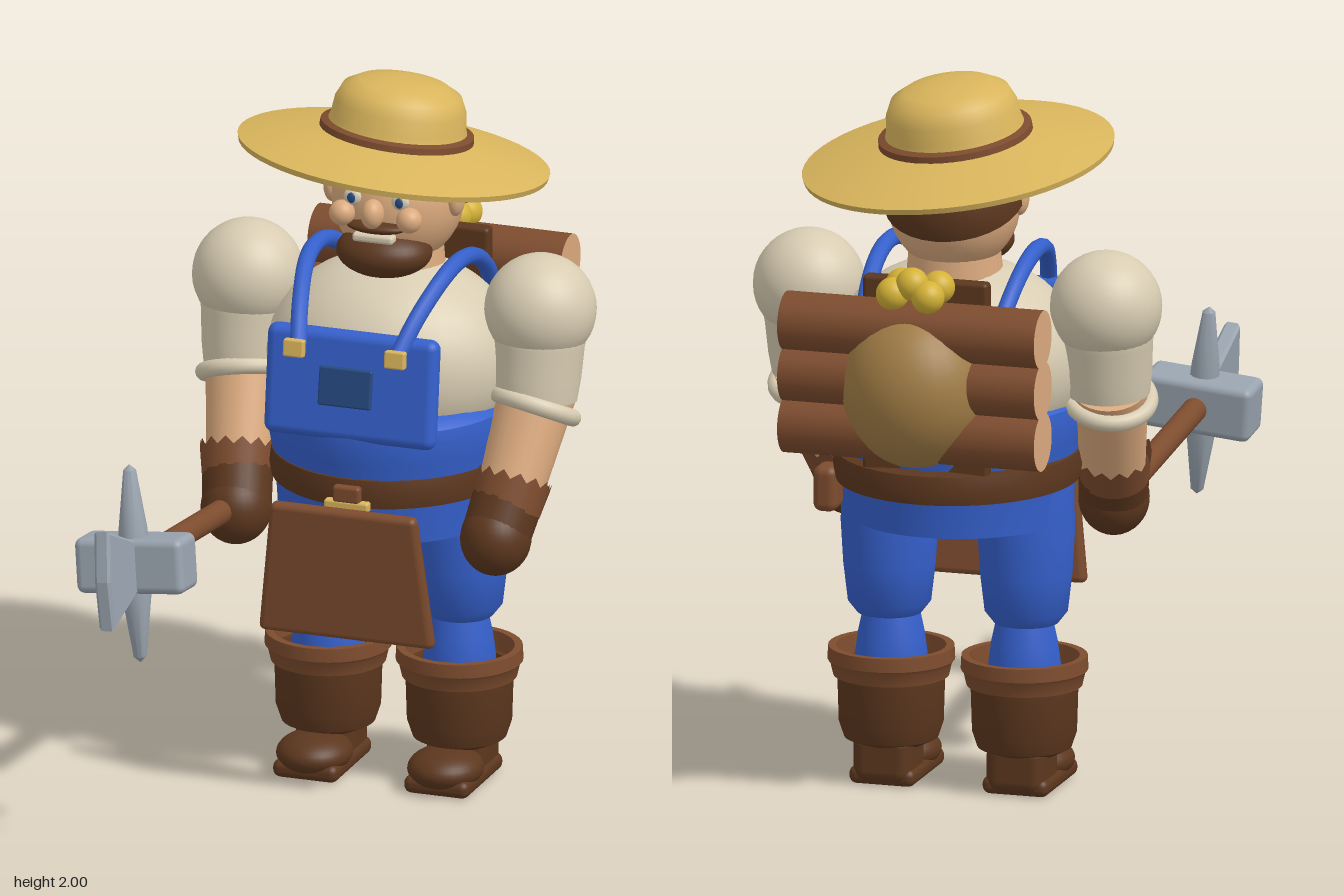
import * as THREE from 'three';
import { toCreasedNormals } from 'three/addons/utils/BufferGeometryUtils.js';
import { RoundedBoxGeometry } from 'three/addons/geometries/RoundedBoxGeometry.js';

const colors = {
  straw: 0xd9b55c, brown: 0x7d4c2e, darkBrown: 0x5c371e, skin: 0xdbaa7e, linen: 0xd8ccb2,
  blue: 0x3560cc, navy: 0x264a80, steel: 0x99a3ae, sackcloth: 0xa07c45, gold: 0xd4b236,
};
const M = {};
for (const [name, color] of Object.entries(colors)) {
  M[name] = new THREE.MeshStandardMaterial({ color });
  M[name].name = name;
}
M.brown.side = M.darkBrown.side = THREE.DoubleSide;

const V = (x, y, z) => new THREE.Vector3(x, y, z);
const UP = V(0, 1, 0);

function add(parent, name, geo, mat, pos = [0, 0, 0], rot = [0, 0, 0], scale = [1, 1, 1]) {
  const m = new THREE.Mesh(geo, mat);
  m.name = name;
  m.position.set(...pos);
  m.rotation.set(...rot);
  m.scale.set(...scale);
  parent.add(m);
  return m;
}
const ball = (parent, name, mat, pos, r, rot) =>
  add(parent, name, new THREE.SphereGeometry(1, 32, 20), mat, pos, rot, r);
const lathe = (pts, seg = 40) =>
  toCreasedNormals(new THREE.LatheGeometry(pts.map(p => new THREE.Vector2(...p)), seg), 0.7);
const rbox = (w, h, d, r) => new RoundedBoxGeometry(w, h, d, 3, r);

// Tapered cylinder running from a to b
function limb(parent, name, mat, a, b, ra, rb, geo) {
  const A = V(...a), B = V(...b);
  const m = add(parent, name, geo || new THREE.CylinderGeometry(ra, rb, A.distanceTo(B), 28), mat);
  m.position.copy(A).add(B).multiplyScalar(0.5);
  m.quaternion.setFromUnitVectors(UP, A.sub(B).normalize());
  return m;
}
function group(parent, name) {
  const g = new THREE.Group();
  g.name = name;
  parent.add(g);
  return g;
}

function buildHead(root) {
  const g = group(root, 'head');
  ball(g, 'skull', M.skin, [0, 1.66, -0.37], [0.183, 0.19, 0.185]);
  add(g, 'hair', new THREE.SphereGeometry(0.195, 32, 16, 0, Math.PI * 2, 0, Math.PI / 2),
    M.darkBrown, [0, 1.665, -0.365], [-0.4, 0, 0]);
  limb(g, 'neck', M.skin, [0, 1.6, -0.37], [0, 1.4, -0.36], 0.12, 0.14);
  ball(g, 'beard', M.darkBrown, [0, 1.535, -0.26], [0.135, 0.072, 0.115]);
  ball(g, 'moustache', M.darkBrown, [0, 1.624, -0.195], [0.085, 0.018, 0.04]);
  add(g, 'teeth', rbox(0.12, 0.025, 0.04, 0.01), M.linen, [0, 1.597, -0.18]);
  ball(g, 'nose', M.skin, [0, 1.67, -0.165], [0.032, 0.042, 0.038]);
  for (const s of [-1, 1]) {
    ball(g, 'ear', M.skin, [s * 0.18, 1.68, -0.34], [0.025, 0.05, 0.036]);
    ball(g, 'cheek', M.skin, [s * 0.098, 1.655, -0.19], [0.036, 0.036, 0.036]);
    ball(g, 'eye', M.linen, [s * 0.07, 1.702, -0.198], [0.026, 0.024, 0.014]);
    ball(g, 'pupil', M.navy, [s * 0.07, 1.702, -0.187], [0.012, 0.015, 0.006]);
    add(g, 'eyebrow', rbox(0.07, 0.016, 0.025, 0.006), M.darkBrown, [s * 0.072, 1.75, -0.2], [0, 0, s * 0.15]);
  }

  // Wide straw hat, tipped to one side and back
  const hat = group(g, 'hat');
  hat.position.set(0, 1.84, -0.357);
  hat.rotation.set(-0.12, 0, -0.1);
  add(hat, 'hatBrimAndCrown', lathe([[0, -0.025], [0.2, -0.025], [0.43, -0.068], [0.434, -0.052], [0.32, -0.018],
    [0.2, 0.005], [0.188, 0.04], [0.183, 0.085], [0.165, 0.125], [0.125, 0.148], [0.06, 0.16], [0, 0.162]], 56), M.straw);
  add(hat, 'hatBand', lathe([[0.18, -0.005], [0.215, -0.005], [0.213, 0.02], [0.18, 0.03]], 48), M.brown);
}

function buildBody(root) {
  const g = group(root, 'body');
  ball(g, 'shirt', M.linen, [0, 1.215, -0.335], [0.357, 0.285, 0.305]);
  add(g, 'trouserTop', lathe([[0, 0.77], [0.31, 0.77], [0.318, 0.9], [0.335, 1.0], [0.345, 1.06],
    [0.34, 1.1], [0.31, 1.125], [0, 1.13]], 48), M.blue, [0, 0, -0.315], [0, 0, 0], [1, 1, 1.02]);

  // Belt, buckle and pouch
  add(g, 'belt', lathe([[0.3, 0.88], [0.345, 0.88], [0.352, 0.92], [0.345, 0.96], [0.3, 0.965], [0.3, 0.88]], 48),
    M.darkBrown, [0, 0, -0.335], [0, 0, 0], [0.97, 1, 1.05]);
  add(g, 'beltLoop', rbox(0.08, 0.05, 0.03, 0.01), M.brown, [0, 0.92, 0.035]);
  add(g, 'beltBuckle', rbox(0.13, 0.03, 0.03, 0.008), M.straw, [0, 0.888, 0.035]);
  add(g, 'beltPouch', rbox(0.07, 0.13, 0.09, 0.025), M.brown, [0.34, 0.845, -0.445]);

  // Leather apron, flaring toward the hem
  const apron = rbox(0.46, 0.385, 0.042, 0.018), p = apron.attributes.position;
  for (let i = 0; i < p.count; i++) p.setX(i, p.getX(i) * (1.02 - p.getY(i) * 0.5));
  add(g, 'apron', apron, M.brown, [0, 0.692, 0.047], [0.075, 0, 0]);

  // Bib with pocket, clasps and shoulder straps
  add(g, 'bib', rbox(0.5, 0.31, 0.06, 0.028), M.blue, [0, 1.222, -0.007], [-0.12, 0, 0]);
  add(g, 'pocket', rbox(0.155, 0.11, 0.016, 0.006), M.navy, [0, 1.235, 0.05], [-0.16, 0, 0]);
  for (const s of [-1, 1]) {
    add(g, 'clasp', rbox(0.06, 0.05, 0.026, 0.006), M.straw, [s * 0.148, 1.335, 0.055], [-0.12, 0, 0]);
    const path = new THREE.CatmullRomCurve3([V(s * 0.145, 1.335, 0.03), V(s * 0.17, 1.42, -0.05),
      V(s * 0.2, 1.5, -0.18), V(s * 0.21, 1.52, -0.29), V(s * 0.21, 1.49, -0.42),
      V(s * 0.2, 1.4, -0.55), V(s * 0.18, 1.27, -0.63), V(s * 0.17, 1.08, -0.645)]);
    add(g, 'shoulderStrap', new THREE.TubeGeometry(path, 40, 0.024, 10), M.blue);
  }
}

function buildArm(root, s) {
  const g = group(root, s > 0 ? 'leftArm' : 'rightArm');
  const x = v => s * v;
  ball(g, 'shoulder', M.linen, [x(0.428), 1.39, -0.34], [0.155, 0.155, 0.155]);
  const sleeve = lathe([[0.115, -0.12], [0.122, -0.06], [0.126, 0.03], [0.134, 0.09], [0.12, 0.13]], 32);
  limb(g, 'sleeve', M.linen, [x(0.43), 1.38, -0.34], [x(0.425), 1.14, -0.308], 0, 0, sleeve);
  const cuff = new THREE.TorusGeometry(0.11, 0.024, 12, 36).rotateX(Math.PI / 2);
  limb(g, 'sleeveCuff', M.linen, [x(0.432), 1.15, -0.312], [x(0.42), 1.09, -0.285], 0, 0, cuff);
  limb(g, 'forearm', M.skin, [x(0.43), 1.16, -0.315], [x(0.395), 0.89, -0.175], 0.108, 0.09);

  // Glove with a jagged cuff
  const jag = new THREE.CylinderGeometry(0.106, 0.097, 0.1, 28, 1, true), p = jag.attributes.position;
  for (let i = 0; i < p.count; i++) if (p.getY(i) > 0 && i % 2) p.setY(i, 0.028);
  limb(g, 'gloveCuff', M.brown, [x(0.405), 0.95, -0.2], [x(0.393), 0.86, -0.155], 0, 0, jag);
  limb(g, 'gloveWrist', M.darkBrown, [x(0.398), 0.9, -0.175], [x(0.38), 0.8, -0.12], 0.099, 0.096);
  ball(g, 'gloveHand', M.darkBrown, [x(0.38), 0.79, -0.115], [0.098, 0.105, 0.103]);
}

function buildLeg(root, s) {
  const g = group(root, s > 0 ? 'leftLeg' : 'rightLeg');
  g.position.set(s * 0.192, 0, -0.337);
  add(g, 'thigh', lathe([[0, 0.475], [0.09, 0.478], [0.115, 0.51], [0.128, 0.62], [0.135, 0.74], [0.13, 0.92]], 32), M.blue,
    [s * 0.005, 0, 0]);
  add(g, 'shin', lathe([[0.1, 0.25], [0.1, 0.36], [0.092, 0.42], [0.075, 0.5]], 32), M.blue);
  add(g, 'bootShaft', lathe([[0, 0.1], [0.09, 0.105], [0.13, 0.125], [0.145, 0.17], [0.15, 0.33],
    [0.13, 0.33], [0.12, 0.29], [0, 0.28]], 32), M.darkBrown);
  add(g, 'bootCuff', lathe([[0.148, 0.3], [0.16, 0.3], [0.168, 0.335], [0.176, 0.345], [0.174, 0.383],
    [0.152, 0.383], [0.145, 0.31]], 36), M.brown);
  add(g, 'bootHeel', rbox(0.17, 0.15, 0.17, 0.04), M.darkBrown, [0, 0.08, -0.025]);
  add(g, 'bootSole', rbox(0.19, 0.05, 0.3, 0.022), M.darkBrown, [0, 0.028, 0.05]);
  ball(g, 'bootToe', M.darkBrown, [0, 0.063, 0.11], [0.105, 0.058, 0.115]);
}

function buildHammer(root) {
  const g = group(root, 'hammer');
  g.position.set(-0.392, 0.876, 0.65);
  g.rotation.set(-0.11, 0, 0.1);
  limb(g, 'handle', M.brown, [0, 0, 0], [0, 0, -0.78], 0.034, 0.034);
  add(g, 'hammerHead', rbox(0.315, 0.155, 0.135, 0.022), M.steel);
  add(g, 'spike', lathe([[0, -0.278], [0.018, -0.262], [0.04, -0.1], [0.046, 0], [0.04, 0.1], [0.018, 0.262], [0, 0.278]], 12),
    M.steel, [0, 0, 0.01]);
  // Fan-shaped blade at the front
  const fan = new THREE.Shape([[0.04, -0.06], [0.25, -0.13], [0.266, 0], [0.25, 0.13], [0.04, 0.06]]
    .map(p => new THREE.Vector2(...p)));
  const blade = new THREE.ExtrudeGeometry(fan, { depth: 0.03, bevelThickness: 0.008, bevelSize: 0.008, bevelSegments: 1 });
  add(g, 'blade', blade.translate(0, 0, -0.015).rotateY(-Math.PI / 2), M.steel);
}

function buildPack(root) {
  const g = group(root, 'backpack');
  add(g, 'packBoard', rbox(0.36, 0.56, 0.045, 0.012), M.darkBrown, [0, 1.225, -0.62]);
  for (const y of [1.385, 1.24, 1.095]) {
    const log = new THREE.CylinderGeometry(0.082, 0.082, 0.74, 28);
    add(g, 'log', log, [M.brown, M.skin, M.skin], [0, y, -0.735], [0, 0, Math.PI / 2]);
  }
  ball(g, 'sack', M.sackcloth, [0, 1.22, -0.72], [0.205, 0.225, 0.197]);
  for (const [x, y, z] of [[-0.055, 1.5, -0.69], [0.05, 1.5, -0.69], [0.0, 1.52, -0.755], [-0.05, 1.49, -0.77], [0.055, 1.49, -0.76]])
    ball(g, 'goldNugget', M.gold, [x, y, z], [0.046, 0.046, 0.046]);
}

export function createModel() {
  const root = new THREE.Group();
  root.name = 'lumberWorker';
  buildHead(root);
  buildBody(root);
  for (const s of [-1, 1]) {
    buildArm(root, s);
    buildLeg(root, s);
  }
  buildHammer(root);
  buildPack(root);
  return root;
}
